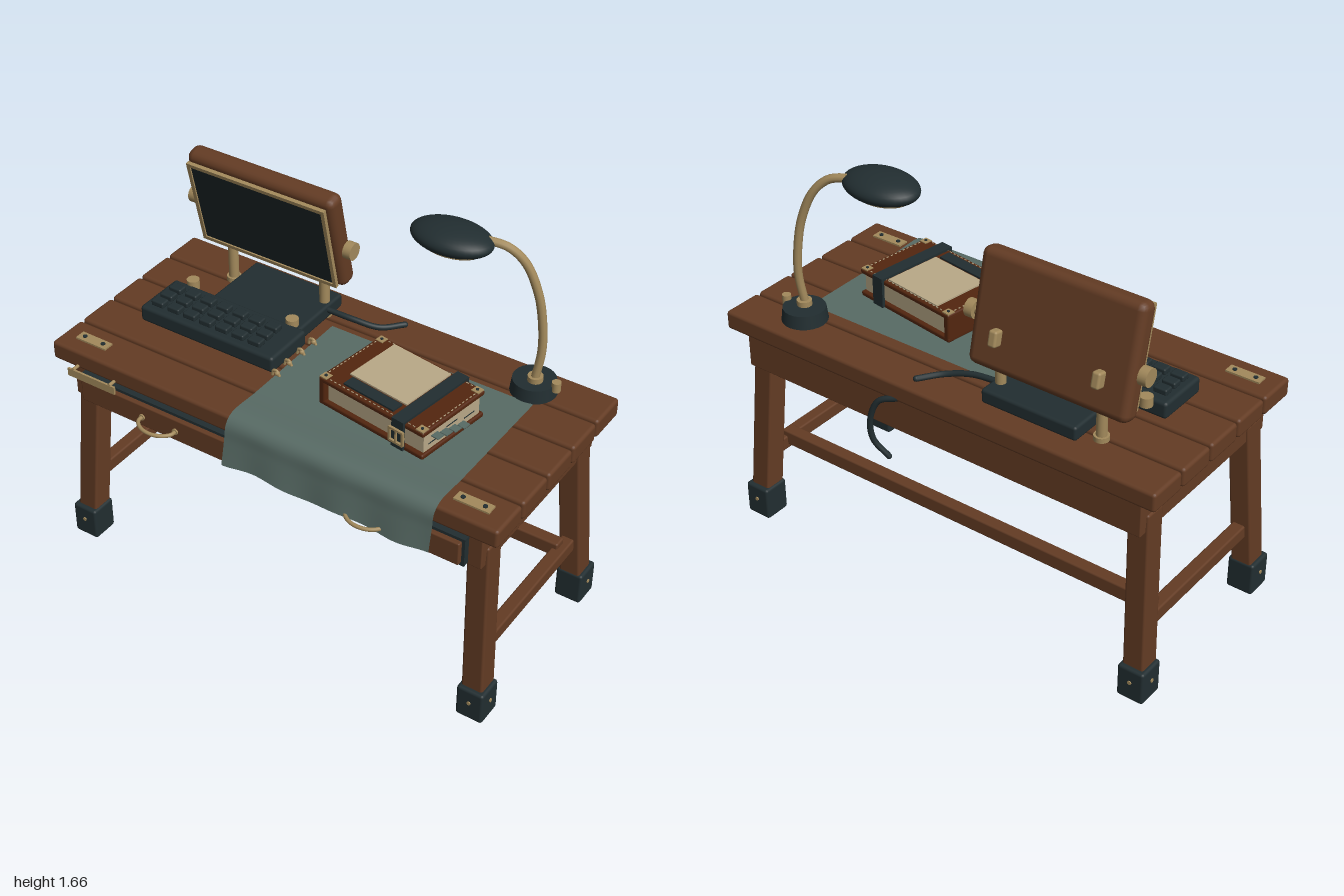
import * as THREE from 'three';
import { RoundedBoxGeometry } from 'three/addons/geometries/RoundedBoxGeometry.js';

const mat = (name, color, side = THREE.FrontSide) => {
  const m = new THREE.MeshStandardMaterial({ color, side });
  m.name = name;
  return m;
};

export function createModel() {
  const wood = mat('wood', 0x643c24);
  const leather = mat('leather', 0x53260f);
  const brass = mat('brass', 0xa38a5c);
  const dark = mat('darkMetal', 0x222e31);
  const glass = mat('screenGlass', 0x1a2426);
  const paper = mat('paper', 0xb9a988);
  const fabric = mat('fabric', 0x586b65, THREE.DoubleSide);

  const root = new THREE.Group();
  root.name = 'writingDesk';
  const group = (name, parent = root) => {
    const g = new THREE.Group();
    g.name = name;
    parent.add(g);
    return g;
  };
  const add = (parent, name, geo, material, x = 0, y = 0, z = 0) => {
    const m = new THREE.Mesh(geo, material);
    m.name = name;
    m.position.set(x, y, z);
    parent.add(m);
    return m;
  };
  const box = (p, n, m, w, h, d, x, y, z, r = 0) =>
    add(p, n, r ? new RoundedBoxGeometry(w, h, d, 2, r) : new THREE.BoxGeometry(w, h, d), m, x, y, z);
  const cyl = (p, n, m, r, h, x, y, z, axis = 'y', r2 = r) => {
    const c = add(p, n, new THREE.CylinderGeometry(r, r2, h, 24), m, x, y, z);
    if (axis === 'x') c.rotation.z = Math.PI / 2;
    if (axis === 'z') c.rotation.x = Math.PI / 2;
    return c;
  };
  const tube = (p, n, m, r, pts) => {
    const curve = new THREE.CatmullRomCurve3(pts.map(a => new THREE.Vector3(...a)));
    add(p, n, new THREE.TubeGeometry(curve, 40, r, 10), m);
    for (const a of [pts[0], pts[pts.length - 1]]) add(p, n + 'End', new THREE.SphereGeometry(r, 10, 8), m, ...a);
  };

  // Tabletop planks with a bevel
  const desk = group('desk');
  for (let i = 0; i < 5; i++)
    box(desk, 'topPlank', wood, 2, 0.08, 0.174, 0, 0.935, 0.339 - i * 0.1845, 0.014);

  // Aprons
  for (const z of [0.37, -0.43]) box(desk, 'longApron', wood, 1.84, 0.16, 0.04, 0, 0.815, z, 0.005);
  for (const s of [-1, 1]) box(desk, 'sideApron', wood, 0.04, 0.16, 0.84, s * 0.905, 0.815, -0.03, 0.005);

  // Splayed legs with metal feet, sheared outward toward the floor
  for (const sx of [-1, 1]) for (const sz of [-1, 1]) {
    const g = new RoundedBoxGeometry(0.09, 0.79, 0.095, 2, 0.01);
    const p = g.attributes.position;
    for (let i = 0; i < p.count; i++) {
      const k = 0.5 - p.getY(i) / 0.79;
      p.setX(i, p.getX(i) + sx * k * 0.044);
      p.setZ(i, p.getZ(i) + sz * k * 0.055);
    }
    add(desk, 'leg', g, wood, sx * 0.888, 0.415, -0.028 + sz * 0.336);
    const fx = sx * 0.928, fz = -0.028 + sz * 0.39;
    box(desk, 'footCap', dark, 0.115, 0.145, 0.117, fx, 0.0725, fz, 0.012);
    cyl(desk, 'footStud', brass, 0.008, 0.006, fx, 0.085, fz + sz * 0.06, 'z');
    cyl(desk, 'footStud', brass, 0.008, 0.006, fx + sx * 0.059, 0.085, fz, 'x');
  }
  // Stretchers
  for (const s of [-1, 1]) box(desk, 'sideStretcher', wood, 0.055, 0.06, 0.68, s * 0.91, 0.3, -0.028, 0.008);
  box(desk, 'longStretcher', wood, 1.82, 0.065, 0.055, 0, 0.322, -0.29, 0.008);

  // Drawers with bow handles
  for (const s of [-1, 1]) {
    const d = group('drawer');
    box(d, 'drawerSurround', dark, 0.8, 0.125, 0.03, s * 0.47, 0.807, 0.403);
    box(d, 'drawerFront', wood, 0.775, 0.1, 0.035, s * 0.47, 0.807, 0.42, 0.006);
    tube(d, 'handle', brass, 0.008, [[-0.08, 0, 0], [-0.078, 0, 0.03], [-0.045, 0, 0.06],
      [0, 0, 0.07], [0.045, 0, 0.06], [0.078, 0, 0.03], [0.08, 0, 0]].map(([x, y, z]) => [s * 0.475 + x, 0.803 + y, 0.435 + z]));
    for (const e of [-0.08, 0.08]) cyl(d, 'handleMount', brass, 0.013, 0.008, s * 0.475 + e, 0.803, 0.44, 'z');
  }
  // Front plaque and corner plates
  box(desk, 'plaque', brass, 0.23, 0.034, 0.009, -0.785, 0.89, 0.455);
  for (const e of [-0.09, 0.09]) cyl(desk, 'plaquePin', brass, 0.007, 0.035, -0.785 + e, 0.907, 0.44, 'z');
  for (const x of [-0.86, 0.853]) {
    box(desk, 'cornerPlate', brass, 0.145, 0.009, 0.046, x, 0.978, 0.338);
    for (const e of [-0.045, 0.045]) cyl(desk, 'plateScrew', dark, 0.009, 0.005, x + e, 0.984, 0.338);
  }

  // Cloth runner draped over the front edge
  const drape = new THREE.CatmullRomCurve3([[-0.26, 0.983], [0, 0.983], [0.25, 0.983], [0.41, 0.984],
    [0.445, 0.955], [0.458, 0.89], [0.478, 0.79]].map(([z, y]) => new THREE.Vector3(0, y, z)));
  const cg = new THREE.PlaneGeometry(0.9, 1, 48, 60);
  const cp = cg.attributes.position;
  for (let i = 0; i < cp.count; i++) {
    const x = cp.getX(i), q = drape.getPointAt(Math.min(1, Math.max(0, 0.5 - cp.getY(i))));
    const hang = Math.max(0, (0.96 - q.y) / 0.17);
    cp.setXYZ(i, x + 0.305, q.y + hang * 0.006 * Math.sin(x * 17), q.z + hang * 0.005 * Math.sin(x * 24));
  }
  cg.computeVertexNormals();
  const runner = group('runner');
  add(runner, 'cloth', cg, fabric);
  for (const z of [-0.12, -0.04, 0.045, 0.125]) {
    tube(runner, 'clip', brass, 0.006, [[-0.16, 0.98, z], [-0.155, 1, z], [-0.14, 1.003, z], [-0.128, 0.984, z]]);
    add(runner, 'clipBead', new THREE.SphereGeometry(0.011, 12, 8), brass, -0.138, 0.993, z);
  }

  // Keyboard unit
  const unit = group('terminal');
  box(unit, 'keyboardBase', dark, 0.635, 0.07, 0.23, -0.475, 1.018, 0.015, 0.014);
  box(unit, 'rearBase', dark, 0.42, 0.06, 0.32, -0.4, 1.01, -0.24, 0.012);
  for (let r = 0; r < 3; r++) for (let c = 0; c < 7; c++)
    box(unit, 'key', dark, 0.058, 0.026, 0.042, -0.733 + c * 0.0775, 1.062, -0.035 + r * 0.056, 0.007);
  for (const x of [-0.716, -0.235]) cyl(unit, 'dial', brass, 0.026, 0.04, x, 1.05, -0.115);
  for (const x of [-0.666, -0.222]) {
    cyl(unit, 'screenPost', brass, 0.021, 0.16, x, 1.06, -0.32);
    cyl(unit, 'postFoot', brass, 0.03, 0.02, x, 0.985, -0.32);
  }

  // Tilted screen
  const screen = group('screen', unit);
  screen.position.set(-0.475, 1.348, -0.32);
  screen.rotation.x = 0.225;
  box(screen, 'screenCase', wood, 0.69, 0.45, 0.085, 0, 0, 0, 0.032);
  box(screen, 'screenGlass', glass, 0.62, 0.375, 0.008, 0, 0, 0.058);
  for (const s of [-1, 1]) {
    box(screen, 'bezelRail', brass, 0.645, 0.016, 0.016, 0, s * 0.193, 0.06);
    box(screen, 'bezelStile', brass, 0.016, 0.4, 0.016, s * 0.315, 0, 0.06);
    box(screen, 'bezelMount', dark, 0.03, 0.03, 0.02, s * 0.27, 0, 0.047);
    cyl(screen, 'sideKnob', brass, 0.036, 0.035, s * 0.37, -0.035, 0, 'x');
    cyl(screen, 'sideKnobStem', brass, 0.018, 0.04, s * 0.345, -0.035, 0, 'x');
    box(screen, 'rearBracket', brass, 0.036, 0.065, 0.045, s * 0.22, -0.085, -0.06, 0.01);
  }

  // Cables
  tube(unit, 'deskCable', dark, 0.012, [[-0.2, 1.02, -0.3], [-0.08, 1.012, -0.31], [0.02, 0.992, -0.345], [0.09, 0.986, -0.425]]);
  tube(unit, 'hangingCable', dark, 0.012, [[0.14, 0.905, -0.475], [0.21, 0.88, -0.5], [0.25, 0.79, -0.508],
    [0.247, 0.69, -0.5], [0.2, 0.612, -0.468]]);

  // Lamp
  const lamp = group('lamp');
  cyl(lamp, 'lampBase', dark, 0.085, 0.055, 0.71, 1.008, -0.345, 'y', 0.092);
  cyl(lamp, 'lampCollar', brass, 0.03, 0.025, 0.718, 1.045, -0.335);
  cyl(lamp, 'lampSwitch', brass, 0.018, 0.04, 0.802, 1.035, -0.345);
  tube(lamp, 'lampStem', brass, 0.017, [[0.716, 1.03, -0.33], [0.73, 1.17, -0.345], [0.722, 1.3, -0.345], [0.7, 1.42, -0.337],
    [0.65, 1.54, -0.32], [0.59, 1.6, -0.295], [0.5, 1.62, -0.265]]);
  const head = group('lampHead', lamp);
  head.position.set(0.392, 1.608, -0.23);
  head.rotation.x = -0.05;
  add(head, 'lampShade', new THREE.SphereGeometry(1, 36, 20), dark).scale.set(0.165, 0.053, 0.112);
  add(head, 'lampRim', new THREE.TorusGeometry(0.09, 0.006, 8, 32).rotateX(Math.PI / 2).scale(1.25, 1, 0.82), brass, 0, -0.039, 0);
  add(head, 'lampBulb', new THREE.SphereGeometry(1, 24, 12), paper, 0, -0.035, 0).scale.set(0.085, 0.022, 0.055);

  // Leather-bound book
  const book = group('book');
  book.position.set(0.365, 0, 0.045);
  book.rotation.y = -0.15;
  for (const y of [0.998, 1.099]) box(book, 'cover', leather, 0.505, 0.022, 0.35, 0, y, 0, 0.008);
  box(book, 'pages', paper, 0.46, 0.085, 0.315, 0.012, 1.048, 0);
  box(book, 'spine', leather, 0.03, 0.115, 0.35, -0.238, 1.048, 0, 0.01);
  box(book, 'notePanel', paper, 0.275, 0.009, 0.25, -0.035, 1.112, -0.035);
  box(book, 'label', dark, 0.24, 0.009, 0.05, -0.03, 1.113, 0.125);
  box(book, 'strapTop', dark, 0.055, 0.012, 0.372, 0.14, 1.114, 0);
  for (const s of [-1, 1]) box(book, 'strapSide', dark, 0.055, 0.126, 0.012, 0.14, 1.055, s * 0.18);
  // Buckle
  for (const s of [-1, 1]) {
    box(book, 'buckleBar', brass, 0.066, 0.009, 0.01, 0.14, 1.05 + s * 0.028, 0.191);
    box(book, 'buckleSide', brass, 0.009, 0.06, 0.01, 0.14 + s * 0.031, 1.05, 0.191);
  }
  box(book, 'bucklePin', brass, 0.007, 0.055, 0.008, 0.14, 1.05, 0.192);
  // Corner guards, stitching and page tabs
  for (const sx of [-1, 1]) for (const sz of [-1, 1]) {
    box(book, 'cornerGuard', brass, 0.034, 0.008, 0.034, sx * 0.232, 1.109, sz * 0.155);
    cyl(book, 'guardRivet', dark, 0.006, 0.005, sx * 0.232, 1.114, sz * 0.155);
  }
  for (let i = 0; i < 20; i++) for (const s of [-1, 1]) {
    box(book, 'longStitch', paper, 0.01, 0.003, 0.003, -0.2 + i * 0.021, 1.111, s * 0.163);
    if (i < 13) box(book, 'shortStitch', paper, 0.003, 0.003, 0.01, s * 0.24, 1.111, -0.126 + i * 0.021);
  }
  for (let i = 0; i < 4; i++) box(book, 'pageTab', fabric, 0.04, 0.004, 0.035, 0.255, 1.025 + i * 0.013, -0.05 + i * 0.05);
  for (let i = 0; i < 3; i++) box(book, 'pageLine', dark, 0.003, 0.004, 0.06, 0.242, 1.035 + (i % 2) * 0.02, -0.1 + i * 0.1);

  return root;
}
